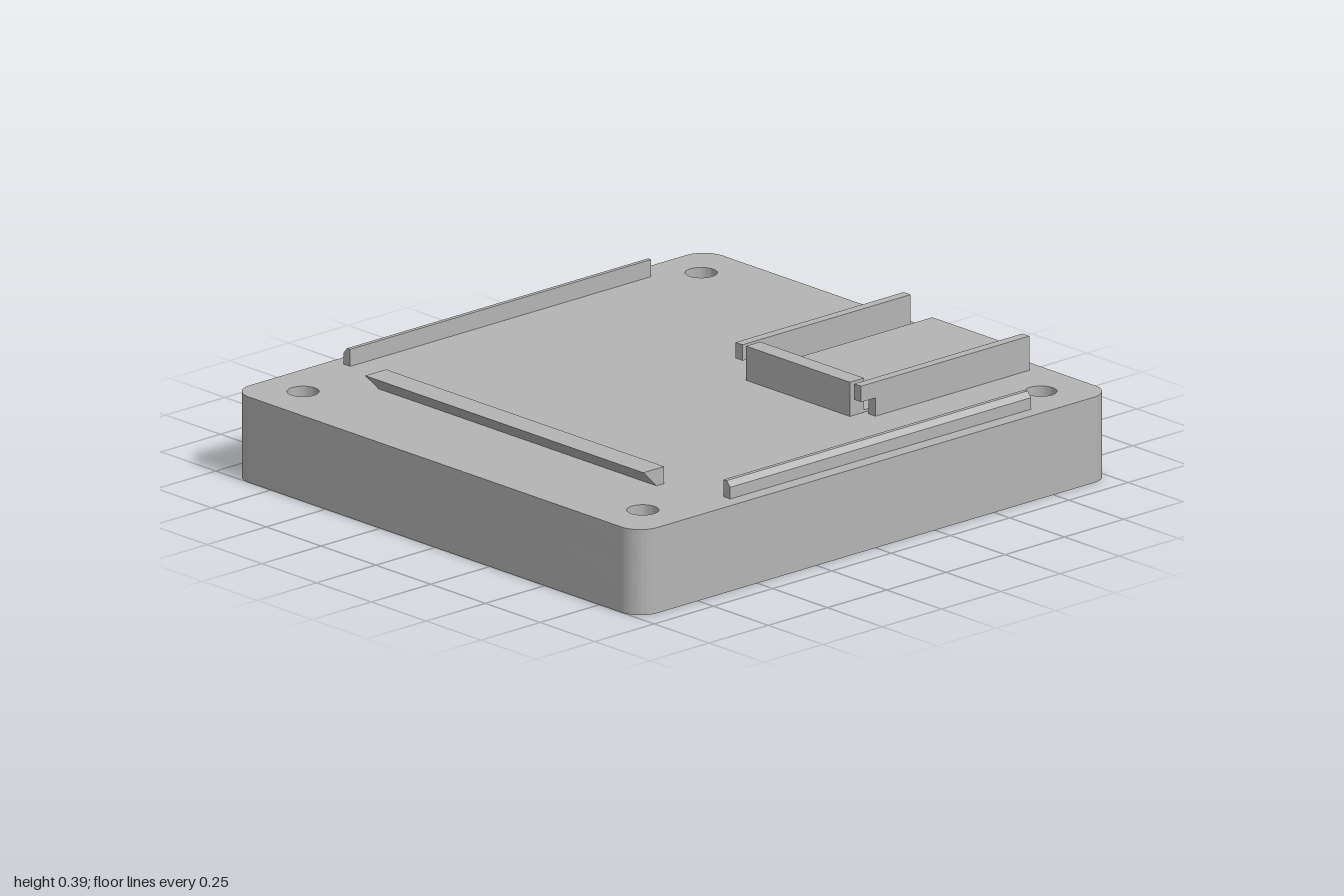
import * as THREE from 'three';
import { toCreasedNormals } from 'three/addons/utils/BufferGeometryUtils.js';

const grey = new THREE.MeshStandardMaterial({ color: 0xb4b4b4 });
grey.name = 'grey';

const W = 0.93, D = 1, R = 0.08, TOP = 0.28;

export function createModel() {
  const model = new THREE.Group();
  model.name = 'mountingBase';

  const add = (name, geometry) => {
    const mesh = new THREE.Mesh(geometry, grey);
    mesh.name = name;
    model.add(mesh);
    return mesh;
  };

  // Box given by its limits on each axis
  const box = (name, x0, x1, y0, y1, z0, z1) => {
    const g = new THREE.BoxGeometry(x1 - x0, y1 - y0, z1 - z0);
    g.translate((x0 + x1) / 2, (y0 + y1) / 2, (z0 + z1) / 2);
    return add(name, g);
  };

  // Rounded outline with a screw hole near each corner
  const outline = (holeRadius) => {
    const s = new THREE.Shape();
    s.moveTo(-W + R, -D);
    s.absarc(W - R, -D + R, R, -Math.PI / 2, 0);
    s.absarc(W - R, D - R, R, 0, Math.PI / 2);
    s.absarc(-W + R, D - R, R, Math.PI / 2, Math.PI);
    s.absarc(-W + R, -D + R, R, Math.PI, Math.PI * 1.5);
    for (const x of [-0.775, 0.775]) {
      for (const z of [-0.84, 0.84]) {
        s.holes.push(new THREE.Path().absarc(x, z, holeRadius, 0, Math.PI * 2, true));
      }
    }
    return s;
  };

  const layer = (name, shape, y0, y1) => {
    const g = new THREE.ExtrudeGeometry(shape, { depth: y1 - y0, bevelEnabled: false, curveSegments: 20 });
    g.rotateX(-Math.PI / 2);
    g.translate(0, y0, 0);
    add(name, toCreasedNormals(g, 0.6));
  };

  // Bottom layer carries two long shallow recesses
  const bottom = outline(0.085);
  for (const [x0, x1] of [[-0.66, -0.24], [0.24, 0.66]]) {
    const p = new THREE.Path();
    p.moveTo(x0, -0.76);
    p.lineTo(x0, 0.76);
    p.lineTo(x1, 0.76);
    p.lineTo(x1, -0.76);
    p.closePath();
    // Stretch to the full recess length
    p.curves.forEach((c) => { c.v1.y = Math.sign(c.v1.y) * 0.838; c.v2.y = Math.sign(c.v2.y) * 0.838; });
    bottom.holes.push(p);
  }
  layer('plateBottom', bottom, 0, 0.02);
  layer('plateMiddle', outline(0.085), 0.02, 0.16);
  layer('plateTop', outline(0.05), 0.16, TOP);

  // Side rails with a chamfered outer top edge
  for (const side of [-1, 1]) {
    const points = [[0.852, TOP], [0.882, TOP], [0.882, 0.318], [0.866, 0.336], [0.852, 0.336]];
    const s = new THREE.Shape(points.map(([x, y]) => new THREE.Vector2(side * x, y)));
    const g = new THREE.ExtrudeGeometry(s, { depth: 1.27, bevelEnabled: false });
    g.translate(0, 0, -0.7);
    add(side > 0 ? 'leftRail' : 'rightRail', g);
  }

  // Front catch bar with a sloping overhang
  const catchShape = new THREE.Shape([[0.62, TOP], [0.652, TOP], [0.708, 0.336], [0.62, 0.336]]
    .map(([z, y]) => new THREE.Vector2(-z, y)));
  const catchBar = new THREE.ExtrudeGeometry(catchShape, { depth: 1.27, bevelEnabled: false });
  catchBar.rotateY(Math.PI / 2);
  catchBar.translate(-0.635, 0, 0);
  add('frontCatchBar', catchBar);

  // Rear holder: front wall, side walls with overhanging tips, low ledges
  box('holderFrontWall', 0.078, 0.552, TOP, 0.392, -0.3, -0.24);
  for (const [x0, x1] of [[0.03, 0.062], [0.572, 0.604]]) {
    box('holderSideWall', x0, x1, TOP, 0.392, -0.95, -0.3);
    box('holderSideWallTip', x0, x1, 0.34, 0.392, -0.3, -0.24);
  }
  for (const [x0, x1] of [[0.078, 0.147], [0.482, 0.552]]) {
    box('holderLedge', x0, x1, TOP, 0.288, -0.95, -0.3);
  }

  // Raised pad inside the holder and its step at the rear edge
  box('holderPad', 0.147, 0.482, TOP, 0.336, -0.963, -0.3);
  box('holderPadStep', 0.147, 0.482, TOP, 0.306, -1, -0.963);

  return model;
}
